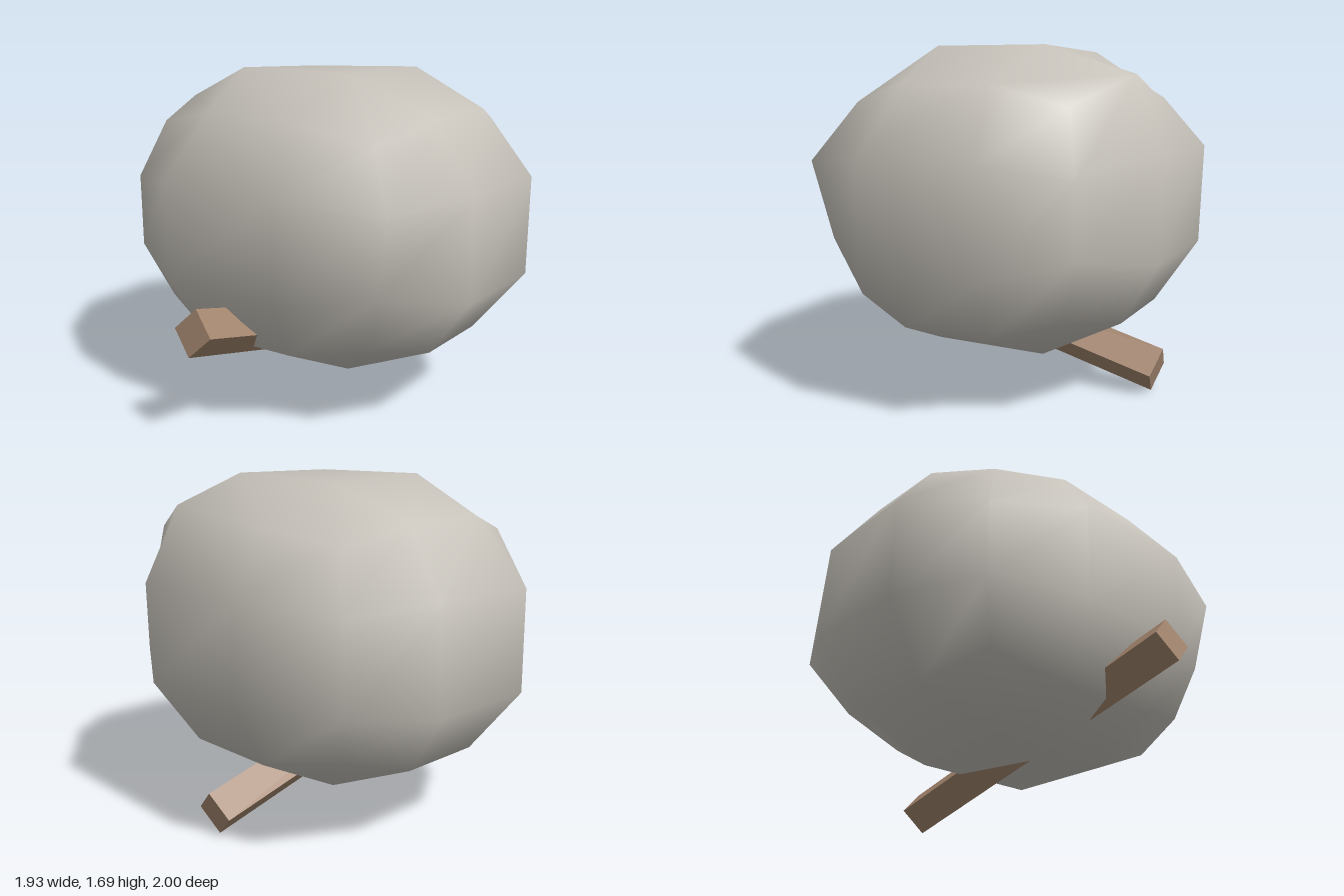
import * as THREE from 'three';
import { mergeVertices } from 'three/addons/utils/BufferGeometryUtils.js';

const stone = new THREE.MeshStandardMaterial({ color: 0xc6c2ba });
stone.name = 'stone grey';
const wood = new THREE.MeshStandardMaterial({ color: 0xa3856e });
wood.name = 'wood brown';

// Dents and bumps: distance from the centre for the uneven grid points,
// keyed by their x, y, z place on a grid of -3, -1, 1 and 3
const uneven = {
  // edges along z
  '3,3,1': 0.82, '3,3,-1': 0.71, '-3,3,1': 0.735, '-3,3,-1': 0.747,
  '3,-3,1': 0.755, '3,-3,-1': 0.755, '-3,-3,-1': 0.78,
  // upright edges
  '3,1,3': 0.69, '3,-1,3': 0.72, '-3,1,3': 0.81, '-3,-1,3': 0.738,
  '3,1,-3': 0.772, '3,-1,-3': 0.81, '-3,1,-3': 0.75, '-3,-1,-3': 0.75,
  // points within the faces
  '1,3,-1': 0.965, '1,1,-3': 0.988, '3,-1,1': 0.985, '3,-1,-1': 0.985,
};

// Rounded rock: a 3 x 3 x 3 box drawn in towards a ball, then stretched
function createBoulder() {
  const box = new THREE.BoxGeometry(2, 2, 2, 3, 3, 3);
  box.deleteAttribute('uv');
  box.deleteAttribute('normal');
  const geometry = mergeVertices(box, 1e-3);
  const pos = geometry.attributes.position;
  const ballRadius = Math.sqrt(11) / 3; // passes through the points within the faces
  const p = new THREE.Vector3();
  for (let i = 0; i < pos.count; i++) {
    p.fromBufferAttribute(pos, i);
    const key = p.toArray().map((v) => Math.round(v * 3)).join(',');
    p.multiplyScalar(uneven[key] ?? ballRadius / p.length());
    pos.setXYZ(i, 0.1 + p.x * 0.865, 0.957 + p.y * 0.738, p.z);
  }
  geometry.computeVertexNormals();
  const mesh = new THREE.Mesh(geometry, stone);
  mesh.name = 'boulder';
  return mesh;
}

// Square beam set on its edge, sloping down under the rock
function createBeam() {
  const geometry = new THREE.BoxGeometry(1.854, 0.161, 0.161);
  geometry.rotateX(Math.PI / 4);
  geometry.rotateZ(-0.249);
  const mesh = new THREE.Mesh(geometry, wood);
  mesh.position.set(-0.042, 0.34, 0);
  mesh.name = 'beam';
  return mesh;
}

export function createModel() {
  const group = new THREE.Group();
  group.name = 'boulderOnBeam';
  group.add(createBoulder(), createBeam());
  return group;
}
